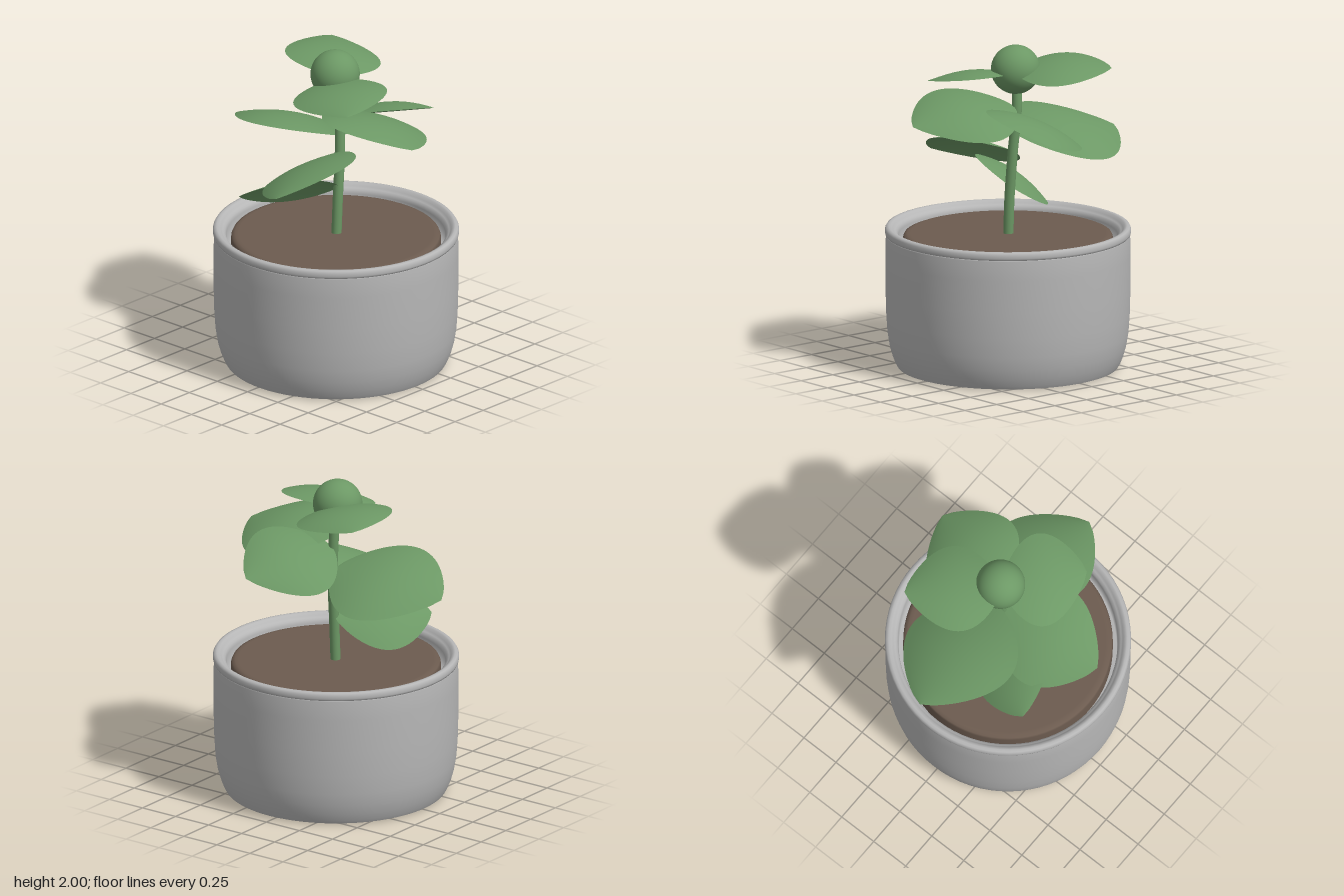
import * as THREE from 'three';

const V = (x, y, z) => new THREE.Vector3(x, y, z);
const POT_Z = 0.035;

// Domed leaf from base to tip; side is the vector from midrib to the widest edge
function leafGeometry(base, tip, side, dome) {
  const rows = 28, cols = 14, pos = [], index = [];
  const axis = tip.clone().sub(base);
  const normal = axis.clone().cross(side).normalize();
  if (normal.y < 0) normal.negate();
  const flip = axis.clone().cross(side).dot(normal) < 0;
  for (let i = 0; i <= rows; i++) {
    const u = Math.pow(i / rows, 1.15);
    const width = Math.pow(Math.max(0, Math.sin(Math.PI * Math.pow(u, 0.9))), 0.75);
    for (let j = 0; j <= cols; j++) {
      const v = (j / cols) * 2 - 1;
      const p = base.clone()
        .addScaledVector(axis, u)
        .addScaledVector(side, v * width)
        .addScaledVector(normal, dome * Math.sin(Math.PI * u) * (1 - v * v));
      pos.push(p.x, p.y, p.z);
      if (i < rows && j < cols) {
        const a = i * (cols + 1) + j, b = a + cols + 1;
        if (flip) index.push(a, a + 1, b, b, a + 1, b + 1);
        else index.push(a, b, a + 1, b, b + 1, a + 1);
      }
    }
  }
  const g = new THREE.BufferGeometry();
  g.setAttribute('position', new THREE.Float32BufferAttribute(pos, 3));
  g.setIndex(index);
  g.computeVertexNormals();
  return g;
}

export function createModel() {
  const model = new THREE.Group();
  model.name = 'pottedPlant';
  const potGrey = new THREE.MeshStandardMaterial({ name: 'pot grey', color: 0xb6b6b6 });
  const soilBrown = new THREE.MeshStandardMaterial({ name: 'soil brown', color: 0x6c5b4f });
  const green = new THREE.MeshStandardMaterial({ name: 'stem green', color: 0x6c9865 });
  const leafGreen = new THREE.MeshStandardMaterial({ name: 'leaf green', color: 0x6c9865, side: THREE.DoubleSide });

  const add = (name, geometry, material, x = 0, y = 0, z = 0) => {
    const mesh = new THREE.Mesh(geometry, material);
    mesh.name = name;
    mesh.position.set(x, y, z);
    model.add(mesh);
    return mesh;
  };
  const lathe = (pts) => new THREE.LatheGeometry(pts.map(([r, y]) => new THREE.Vector2(r, y)), 72);

  // Pot: underside, rounded wall, then the rolled rim and inner wall
  add('potBase', lathe([[0, 0.005], [0.25, 0.008], [0.67, 0.014]]), potGrey, 0, 0, POT_Z);
  add('potWall', lathe([
    [0.67, 0.014], [0.682, 0.035], [0.7, 0.08], [0.717, 0.14], [0.73, 0.22],
    [0.738, 0.34], [0.742, 0.5], [0.742, 0.7], [0.74, 0.822], [0.73, 0.828],
  ]), potGrey, 0, 0, POT_Z);
  add('potRim', lathe([
    [0.73, 0.826], [0.742, 0.829], [0.746, 0.842], [0.745, 0.862], [0.737, 0.875], [0.722, 0.879],
    [0.707, 0.875], [0.697, 0.86], [0.685, 0.85], [0.672, 0.842], [0.665, 0.82], [0.66, 0.7], [0, 0.7],
  ]), potGrey, 0, 0, POT_Z);

  // Soil disc with a softened edge
  add('soil', lathe([[0.635, 0.7], [0.635, 0.81], [0.628, 0.825], [0.61, 0.832], [0.59, 0.833], [0, 0.833]]),
    soilBrown, 0, 0, POT_Z);

  // Leaning stem and round bud
  const path = new THREE.CatmullRomCurve3([
    V(0.003, 0.8, 0.035), V(0.015, 1.05, 0.036), V(0.04, 1.35, 0.03), V(0.055, 1.6, 0.012), V(0.04, 1.85, 0),
  ]);
  add('stem', new THREE.TubeGeometry(path, 32, 0.031, 16), green);
  add('bud', new THREE.SphereGeometry(0.15, 40, 28), green, 0.03, 1.85, 0);

  // Leaves: name, base, tip, half-width vector, dome height
  const leaves = [
    ['topBackLeaf', V(0.02, 1.84, 0), V(0.444, 1.87, -0.413), V(0.2, -0.04, 0.21), 0.05],
    ['topFrontLeaf', V(0.02, 1.82, 0), V(-0.308, 1.78, 0.413), V(0.2, 0.045, 0.2), 0.045],
    ['frontLeaf', V(0.05, 1.63, 0.03), V(-0.07, 1.58, 0.727), V(0.335, -0.095, 0.056), 0.065],
    ['leftLeaf', V(0.06, 1.58, 0.02), V(0.663, 1.5, 0.22), V(-0.09, 0.12, 0.285), 0.06],
    ['backLeaf', V(0.06, 1.44, 0), V(0.023, 1.394, -0.78), V(0.365, -0.118, -0.02), 0.07],
    ['rightLeaf', V(0.03, 1.35, 0.03), V(-0.63, 1.26, 0.12), V(0.04, 0.125, 0.29), 0.055],
    ['lowestLeaf', V(0.03, 1.12, 0.03), V(-0.44, 1.09, -0.36), V(-0.13, 0.155, 0.18), 0.045],
  ];
  for (const [name, base, tip, side, dome] of leaves) add(name, leafGeometry(base, tip, side, dome), leafGreen);

  return model;
}
